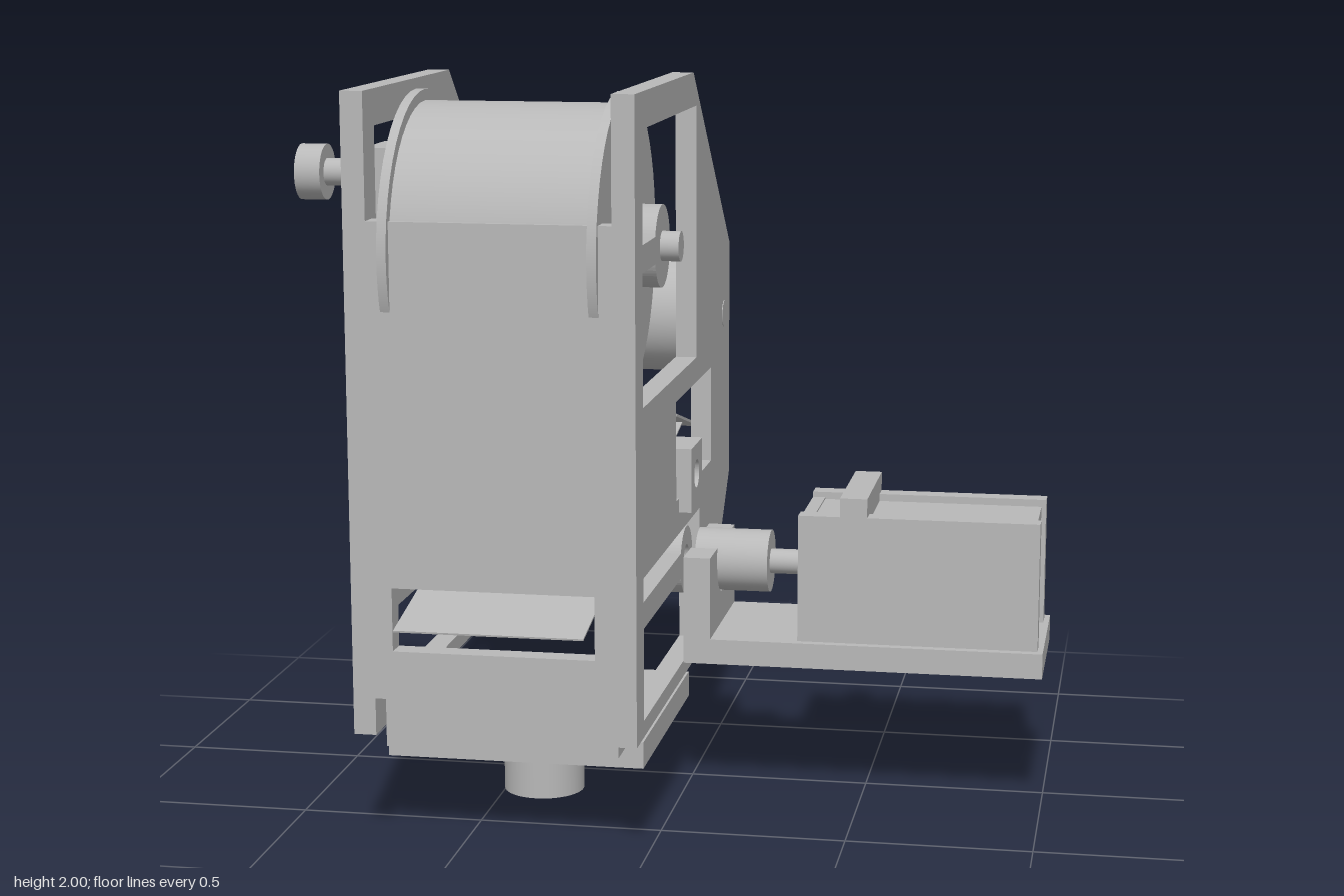
import * as THREE from 'three';

const MID = -0.395; // centre plane of the feeder frame

export function createModel() {
  const root = new THREE.Group();
  const grey = new THREE.MeshStandardMaterial({ color: 0xb8b8b8 });
  grey.name = 'plain grey';

  const add = (name, geo) => {
    const m = new THREE.Mesh(geo, grey);
    m.name = name;
    root.add(m);
    return m;
  };
  // box from its limits
  const box = (name, x0, x1, y0, y1, z0, z1) => add(name,
    new THREE.BoxGeometry(x1 - x0, y1 - y0, z1 - z0).translate((x0 + x1) / 2, (y0 + y1) / 2, (z0 + z1) / 2));
  // cylinder lying along x
  const rod = (name, x0, x1, y, z, r) => add(name,
    new THREE.CylinderGeometry(r, r, x1 - x0, 48).rotateZ(Math.PI / 2).translate((x0 + x1) / 2, y, z));
  // upright cylinder
  const post = (name, y0, y1, x, z, r) => add(name,
    new THREE.CylinderGeometry(r, r, y1 - y0, 48).translate(x, (y0 + y1) / 2, z));
  const poly = (pts, T = THREE.Shape) => new T(pts.map(p => new THREE.Vector2(...p)));
  const circle = (u, v, r, T = THREE.Path) => new T().absarc(u, v, r, 0, Math.PI * 2, false);
  const extrude = (shape, depth) =>
    new THREE.ExtrudeGeometry(shape, { depth, bevelEnabled: false, curveSegments: 32 });
  // (z, y) profile extruded between two x values
  const profile = (name, shape, x0, x1) =>
    add(name, extrude(shape, x1 - x0).rotateY(-Math.PI / 2).translate(x1, 0, 0));
  // x limits measured inwards from each side of the frame
  const bothSides = (x0, x1, make) => { make(x0, x1); make(2 * MID - x1, 2 * MID - x0); };

  // window with an arm reaching in from the front edge to a round hub
  const armWindow = (zBack, y0, y1, hz, hy, r) => {
    const zf = 0.66, h = 0.036, a = Math.asin(h / r);
    const p = poly([[zf, y1], [zBack, y1], [zBack, y0], [zf, y0], [zf, hy - h]], THREE.Path);
    p.lineTo(hz + r * Math.cos(a), hy - h);
    p.absarc(hz, hy, r, -a, a, true);
    p.lineTo(zf, hy + h);
    p.closePath();
    return p;
  };

  // side plates
  bothSides(-0.775, -0.715, (x0, x1) => {
    const s = poly([[0.76, 0.31], [0.76, 2], [-0.1, 2], [-0.735, 1.45], [-0.735, 0.74], [-0.33, 0.31]]);
    s.holes.push(
      armWindow(-0.15, 1.19, 1.905, 0.38, 1.575, 0.11),
      armWindow(-0.2, 0.355, 0.74, 0.02, 0.64, 0.095),
      poly([[0.18, 1.12], [-0.4, 1.12], [-0.4, 0.84], [-0.04, 0.84], [-0.04, 0.8], [0.135, 0.8], [0.135, 0.84], [0.18, 0.84]], THREE.Path),
      circle(0.02, 0.64, 0.042));
    profile('sidePlate', s, x0, x1);
  });

  // sliding bearing blocks and their inner collars
  bothSides(-0.81, -0.715, (x0, x1) => {
    const s = poly([[-0.04, 0.8], [0.135, 0.8], [0.135, 0.98], [-0.04, 0.98]]);
    s.holes.push(circle(0.05, 0.895, 0.04));
    profile('bearingBlock', s, x0, x1);
  });
  bothSides(-0.715, -0.69, (x0, x1) => {
    const s = circle(0.05, 0.895, 0.11, THREE.Shape);
    s.holes.push(circle(0.05, 0.895, 0.04));
    profile('bearingCollar', s, x0, x1);
  });

  // front panel with exit slot
  const panel = poly([[-0.715, 0.41], [-0.075, 0.41], [-0.075, 1.67], [-0.715, 1.67]]);
  panel.holes.push(poly([[-0.665, 0.54], [-0.665, 0.71], [-0.125, 0.71], [-0.125, 0.54]], THREE.Path));
  add('frontPanel', extrude(panel, 0.06).translate(0, 0, 0.7));

  // reel, flanges and axle
  rod('reelBarrel', -0.655, -0.135, 1.575, 0.38, 0.375);
  bothSides(-0.68, -0.655, (x0, x1) => rod('reelFlange', x0, x1, 1.575, 0.38, 0.405));
  rod('reelAxle', -0.825, 0.035, 1.575, 0.38, 0.04);

  // clamp bracket with knob
  box('knobBracket', -0.8, -0.735, 1.575, 1.83, 0.275, 0.475);
  rod('knobShaft', -0.94, -0.7, 1.755, 0.375, 0.037);
  rod('knobTip', -0.7, -0.68, 1.755, 0.375, 0.052);
  rod('knob', -1, -0.93, 1.755, 0.375, 0.075);

  // rear roller
  rod('rearRoller', -0.67, -0.12, 1.245, -0.635, 0.175);
  rod('rearRollerAxle', -0.777, -0.013, 1.245, -0.635, 0.04);

  // thin sheets running between the reel, the rear edge and the exit slot
  const sheet = (name, x0, x1, [z0, y0], [z1, y1], t) => {
    const g = new THREE.BoxGeometry(x1 - x0, t, Math.hypot(z1 - z0, y1 - y0));
    g.rotateX(-Math.atan2(y1 - y0, z1 - z0));
    g.translate((x0 + x1) / 2, (y0 + y1) / 2, (z0 + z1) / 2);
    add(name, g);
  };
  sheet('feedSheet', -0.65, -0.145, [-0.805, 0.87], [0.28, 1.155], 0.005);
  sheet('exitSheet', -0.65, -0.145, [-0.66, 0.906], [0.807, 0.607], 0.005);
  sheet('peelPlate', -0.67, -0.12, [-0.805, 0.867], [-0.41, 0.971], 0.008);

  // foot bracket under the frame
  box('footBlock', -0.71, -0.08, 0.255, 0.41, 0.38, 0.68);
  box('footTongue', -0.71, -0.08, 0.28, 0.31, 0.23, 0.38);

  // base plate with bolt holes, mounting disc and stub
  const bz = 0.18, h = 0.353;
  const base = poly([[MID - h, -bz - h], [MID + h, -bz - h], [MID + h, -bz + h], [MID - h, -bz + h]]);
  for (const sx of [-1, 1]) for (const sz of [-1, 1])
    base.holes.push(circle(MID + sx * 0.19, -bz + sz * 0.19, 0.03));
  add('basePlate', extrude(base, 0.073).rotateX(-Math.PI / 2).translate(0, 0.182, 0));
  post('mountDisc', 0.155, 0.183, MID, bz, 0.175);
  post('mountStub', 0, 0.156, MID, bz, 0.113);

  // motor bracket: floor and notched upright
  box('motorFloor', 0.01, 1, 0.39, 0.46, -0.22, 0.21);
  const wall = poly([[-0.22, 0.46], [0.21, 0.46], [0.21, 0.69], [0.09, 0.69], [0.09, 0.64]]);
  wall.absarc(0, 0.64, 0.09, 0, Math.PI, true);
  wall.lineTo(-0.09, 0.69);
  wall.lineTo(-0.22, 0.69);
  profile('motorWall', wall, 0.01, 0.085);

  // motor body, side rails, strap, shaft and coupling
  box('motorBody', 0.335, 0.972, 0.46, 0.795, -0.135, 0.135);
  for (const z of [-0.187, 0.13]) box('motorRail', 0.325, 0.985, 0.46, 0.815, z, z + 0.055);
  box('motorFrontFace', 0.325, 0.36, 0.46, 0.8, -0.135, 0.135);
  box('motorStrap', 0.44, 0.515, 0.795, 0.868, -0.187, 0.187);
  rod('motorShaft', 0.22, 0.335, 0.64, 0, 0.035);
  rod('coupling', 0.02, 0.225, 0.64, 0, 0.0875);

  return root;
}
